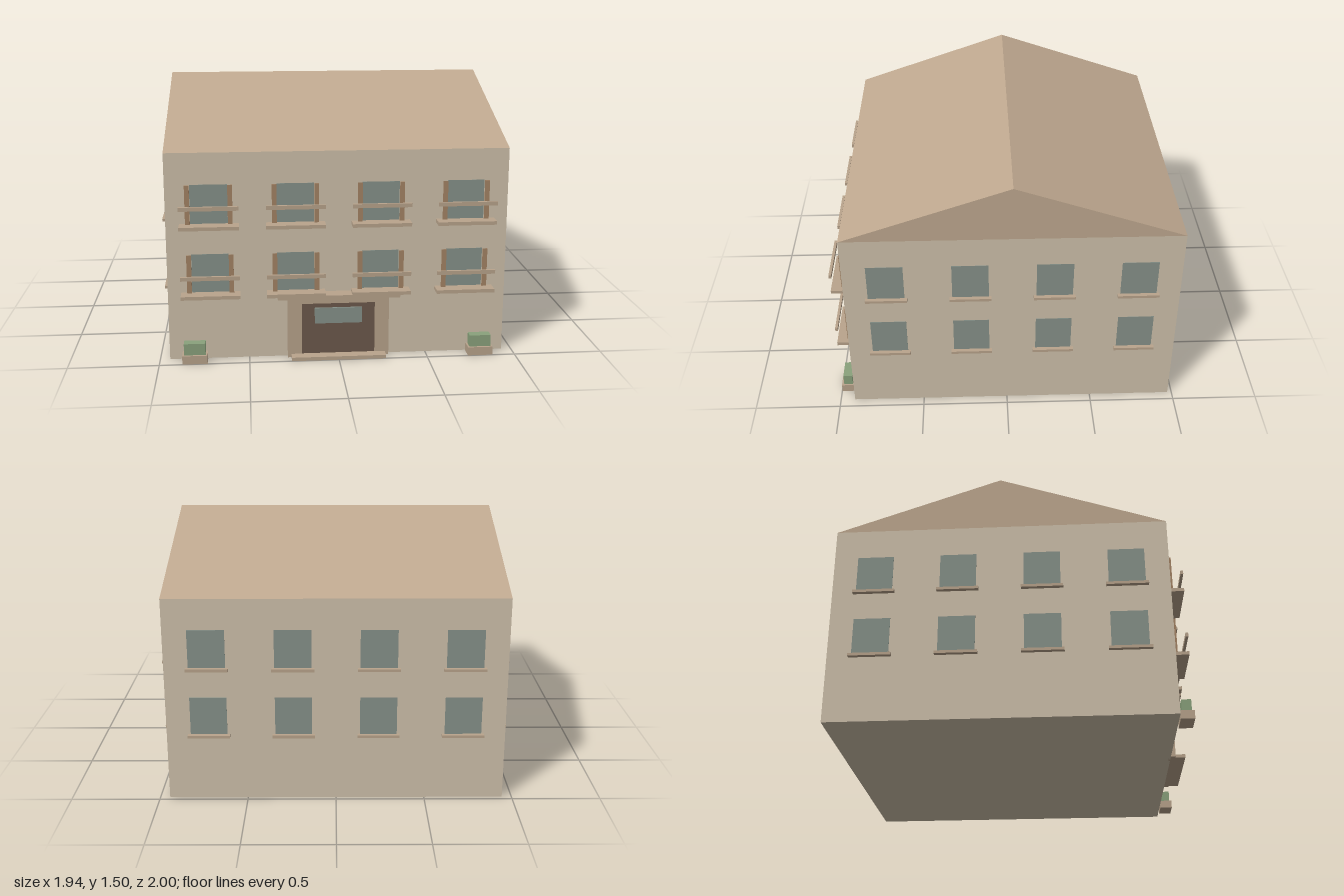
import * as THREE from 'three';

const paint = (color) => new THREE.MeshStandardMaterial({ color });
const WALL = paint(0xcfc1ab), TRIM = paint(0xb9a48c), ROOF = paint(0xc0a990), GLASS = paint(0x87928a);
const SHUTTER = paint(0xa58465), DOOR = paint(0x6d5a4c), LEAF = paint(0x8aa27c);

// Extents of the walls
const HALF = 0.945, FRONT = 0.915, BACK = -0.975, EAVES = 1.178, RIDGE = 1.502;
const MID = (FRONT + BACK) / 2;
const FLOORS = [0.39, 0.782]; // lower edges of the two window rows
const BAYS = [-0.708, -0.236, 0.236, 0.708];
const WIN_W = 0.205, WIN_H = 0.22;

// Box given by its lower and upper limits on each axis
function block(parent, name, material, [x0, x1], [y0, y1], [z0, z1]) {
  const mesh = new THREE.Mesh(new THREE.BoxGeometry(x1 - x0, y1 - y0, z1 - z0), material);
  mesh.position.set((x0 + x1) / 2, (y0 + y1) / 2, (z0 + z1) / 2);
  mesh.name = name;
  parent.add(mesh);
  return mesh;
}

const span = (centre, width) => [centre - width / 2, centre + width / 2];

// Window on a wall at local z = 0, facing +z, with its lower edge at y = 0
function makeWindow() {
  const g = new THREE.Group();
  g.name = 'window';
  block(g, 'windowPane', GLASS, span(0, WIN_W), [0, WIN_H], [-0.01, 0.002]);
  return g;
}

function plainWindow() {
  const g = makeWindow();
  block(g, 'windowSill', TRIM, span(0, 0.235), [-0.014, 0.002], [-0.005, 0.025]);
  return g;
}

function balconyWindow() {
  const g = makeWindow();
  g.name = 'balconyWindow';
  block(g, 'balconyFloor', TRIM, span(0, 0.325), [-0.018, 0.002], [-0.005, 0.08]);
  block(g, 'balconyRail', TRIM, span(0, 0.325), [0.092, 0.114], [0.067, 0.082]);
  for (const s of [-1, 1])
    block(g, 'shutter', SHUTTER, span(s * 0.116, 0.026), [0, WIN_H], [0.014, 0.022]);
  return g;
}

// Two rows of four windows; the group is turned to face its wall
function facade(name, make, x, z, turn) {
  const g = new THREE.Group();
  g.name = name;
  for (const y of FLOORS) {
    for (const bay of BAYS) {
      const w = make();
      w.position.set(bay, y, 0);
      g.add(w);
    }
  }
  g.position.set(x, 0, z);
  g.rotation.y = turn;
  return g;
}

function makeRoof() {
  const gable = new THREE.Shape([
    new THREE.Vector2(-FRONT, EAVES),
    new THREE.Vector2(-BACK, EAVES),
    new THREE.Vector2(-MID, RIDGE),
  ]);
  const geo = new THREE.ExtrudeGeometry(gable, { depth: 2 * HALF, bevelEnabled: false });
  geo.translate(0, 0, -HALF);
  geo.rotateY(Math.PI / 2);
  const roof = new THREE.Mesh(geo, ROOF);
  roof.name = 'roof';
  return roof;
}

function makeEntrance() {
  const g = new THREE.Group();
  g.name = 'entrance';
  // Door frame: two posts and a lintel
  for (const s of [-1, 1])
    block(g, 'doorPost', TRIM, span(s * 0.245, 0.08), [0, 0.358], [FRONT - 0.01, 0.943]);
  block(g, 'doorLintel', TRIM, span(0, 0.41), [0.315, 0.358], [FRONT - 0.01, 0.943]);
  block(g, 'door', DOOR, span(0, 0.41), [0.01, 0.315], [FRONT - 0.01, 0.94]);
  block(g, 'doorGlass', GLASS, span(0, 0.266), [0.2, 0.29], [0.93, 0.95]);
  block(g, 'doorstep', TRIM, span(0, 0.53), [0, 0.02], [FRONT - 0.01, 1]);
  block(g, 'canopy', TRIM, span(0, 0.68), [0.357, 0.378], [FRONT - 0.01, 0.993]);
  return g;
}

function makePlanter(x) {
  const g = new THREE.Group();
  g.name = 'planter';
  block(g, 'planterBox', TRIM, span(x, 0.14), [0, 0.048], [0.922, 0.998]);
  block(g, 'shrub', LEAF, span(x, 0.12), [0.045, 0.114], [0.932, 0.985]);
  return g;
}

export function createModel() {
  const building = new THREE.Group();
  building.name = 'building';
  block(building, 'walls', WALL, [-HALF, HALF], [0, EAVES], [BACK, FRONT]);
  building.add(
    makeRoof(),
    facade('frontWindows', balconyWindow, 0, FRONT, 0),
    facade('backWindows', plainWindow, 0, BACK, Math.PI),
    facade('leftWindows', plainWindow, HALF, MID, Math.PI / 2),
    facade('rightWindows', plainWindow, -HALF, MID, -Math.PI / 2),
    makeEntrance(),
    makePlanter(-0.803),
    makePlanter(0.803),
  );
  return building;
}
